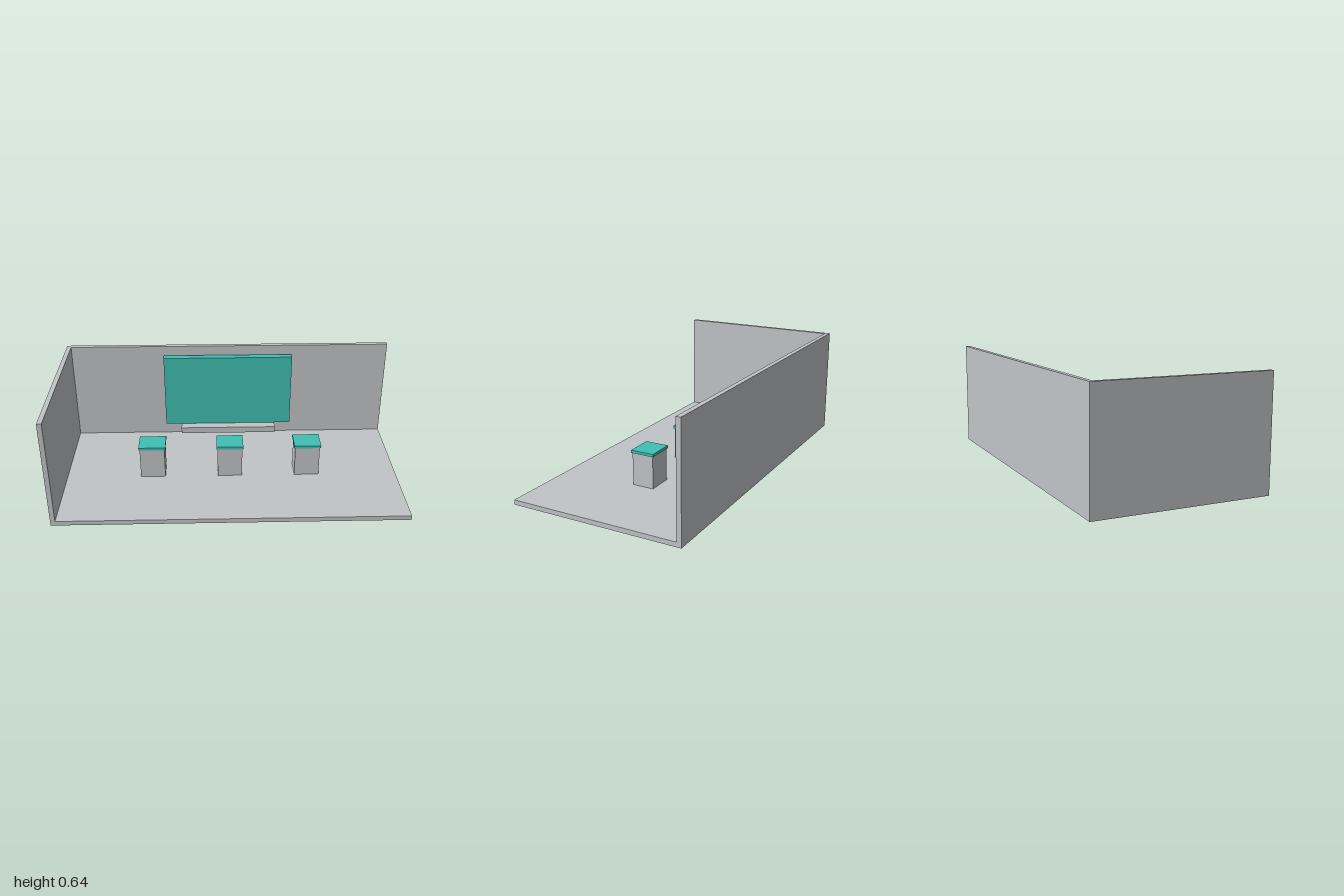
import * as THREE from 'three';

export function createModel() {
  const model = new THREE.Group();
  model.name = 'displayRoom';

  const grey = new THREE.MeshStandardMaterial({ color: 0xc2c5c8 });
  grey.name = 'pale grey';
  const teal = new THREE.MeshStandardMaterial({ color: 0x40c1b3 });
  teal.name = 'teal';

  // Box given by its minimum and maximum corners
  function block(name, material, [x0, y0, z0], [x1, y1, z1], parent = model) {
    const mesh = new THREE.Mesh(new THREE.BoxGeometry(x1 - x0, y1 - y0, z1 - z0), material);
    mesh.position.set((x0 + x1) / 2, (y0 + y1) / 2, (z0 + z1) / 2);
    mesh.name = name;
    parent.add(mesh);
    return mesh;
  }

  const T = 0.027; // floor and wall thickness
  const H = 0.64; // room height

  // Room shell: floor, back wall and one side wall
  block('floor', grey, [-1, 0, -0.5], [1, T, 0.5]);
  block('backWall', grey, [-1, T, -0.5], [1, H, -0.5 + T]);
  block('sideWall', grey, [-1, T, -0.5 + T], [-1 + T, H, 0.5]);

  // Wall screen with the shelf below it
  block('screen', teal, [-0.4, 0.12, -0.461], [0.4, 0.583, -0.418]);
  block('shelf', grey, [-0.3, 0.081, -0.447], [0.3, 0.12, -0.36]);

  // Row of three pedestals with overhanging tops
  for (const x of [-0.46, 0, 0.46]) {
    const pedestal = new THREE.Group();
    pedestal.name = 'pedestal';
    pedestal.position.x = x;
    block('pedestalBody', grey, [-0.073, T, -0.063], [0.073, 0.213, 0.063], pedestal);
    block('pedestalTop', teal, [-0.079, 0.213, -0.069], [0.079, 0.229, 0.069], pedestal);
    model.add(pedestal);
  }

  return model;
}
